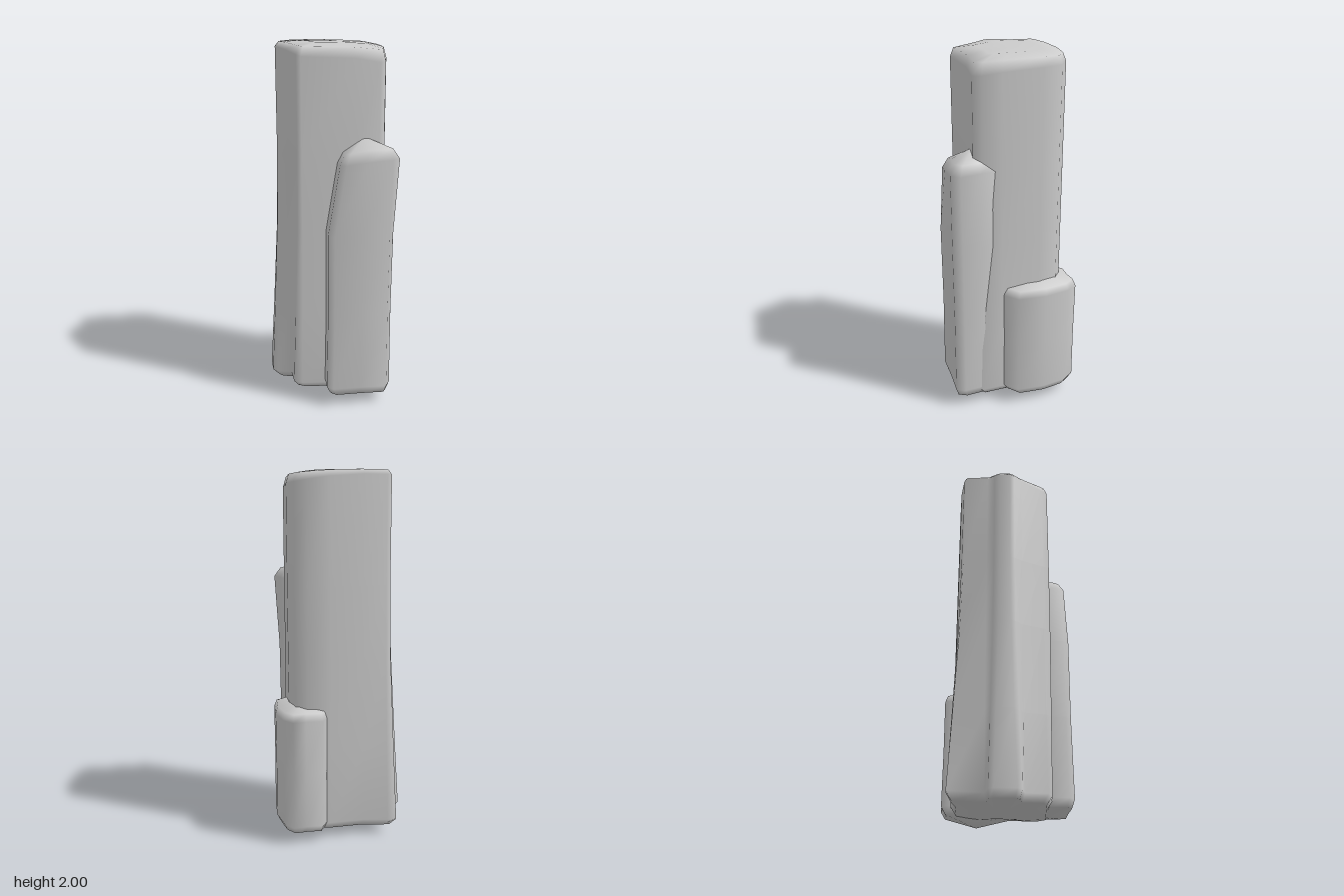
import * as THREE from 'three';

const material = new THREE.MeshStandardMaterial({ color: 0xcccccc });

// Lofts closed [x, z] outlines: each layer blends low -> high by mix and shrinks
// toward the pivot by scale; tilt lowers the layer according to position.
function loft(name, low, high, layers, pivot, bottomY, topY) {
  const n = low.length;
  const pos = [];
  const index = [];
  for (const { y, mix, scale = 1, tilt } of layers) {
    for (let i = 0; i < n; i++) {
      const bx = low[i][0] + (high[i][0] - low[i][0]) * mix;
      const bz = low[i][1] + (high[i][1] - low[i][1]) * mix;
      const x = pivot[0] + (bx - pivot[0]) * scale;
      const z = pivot[1] + (bz - pivot[1]) * scale;
      pos.push(x, y - (tilt ? tilt(x, z) : 0), z);
    }
  }
  const bottom = pos.length / 3;
  pos.push(pivot[0], bottomY, pivot[1], pivot[0], topY, pivot[1]);
  const last = (layers.length - 1) * n;
  for (let i = 0; i < n; i++) {
    const j = (i + 1) % n;
    for (let k = 0; k < last; k += n) {
      index.push(k + i, k + n + i, k + j, k + j, k + n + i, k + n + j);
    }
    index.push(bottom, i, j, bottom + 1, last + j, last + i);
  }
  const geometry = new THREE.BufferGeometry();
  geometry.setAttribute('position', new THREE.Float32BufferAttribute(pos, 3));
  geometry.setIndex(index);
  geometry.computeVertexNormals();
  const mesh = new THREE.Mesh(geometry, material);
  mesh.name = name;
  return mesh;
}

export function createModel() {
  const group = new THREE.Group();
  group.name = 'rockPillar';

  // Main column, flaring at the base with a ridge along the -x side
  const columnLow = [
    [-0.29, -0.32], [-0.24, -0.32], [-0.11, -0.295], [0.08, -0.3], [0.2, -0.285], [0.26, -0.24],
    [0.28, -0.13], [0.27, 0.08], [0.275, 0.2], [0.22, 0.25], [0.05, 0.23], [-0.21, 0.205],
    [-0.255, 0.18], [-0.26, 0.065], [-0.34, 0.045], [-0.365, 0.02],
    [-0.365, -0.095], [-0.34, -0.12], [-0.26, -0.135],
  ];
  const columnHigh = [
    [-0.25, -0.27], [-0.225, -0.28], [-0.1, -0.295], [0.08, -0.3], [0.2, -0.285], [0.26, -0.24],
    [0.285, -0.13], [0.275, 0.08], [0.25, 0.18], [0.215, 0.22], [0.08, 0.21], [-0.2, 0.22],
    [-0.22, 0.18], [-0.27, 0.06], [-0.3, 0.015], [-0.31, -0.01],
    [-0.305, -0.07], [-0.29, -0.1], [-0.26, -0.14],
  ];
  const slope = (x, z) => 0.15 * Math.max(0, x) + 0.2 * Math.max(0, z);
  group.add(loft('mainColumn', columnLow, columnHigh, [
    { y: 0.05, mix: 0, scale: 0.9 },
    { y: 0.09, mix: 0 },
    { y: 0.5, mix: 0.4 },
    { y: 1.0, mix: 0.85 },
    { y: 1.4, mix: 1 },
    { y: 1.97, mix: 1, tilt: slope },
    { y: 1.995, mix: 1, scale: 0.94, tilt: (x, z) => 0.5 * slope(x, z) },
    { y: 2.0, mix: 1, scale: 0.6, tilt: (x, z) => 0.3 * slope(x, z) },
  ], [0.03, -0.05], 0.02, 1.995));

  // Tall slab leaning on the front, with a sloping shoulder
  const slabLow = [
    [-0.08, 0.1], [0.26, 0.08], [0.27, 0.2], [0.278, 0.3], [0.25, 0.35],
    [0.1, 0.343], [-0.05, 0.342], [-0.083, 0.31], [-0.08, 0.22],
  ];
  const slabHigh = [
    [0.0, 0.1], [0.26, 0.08], [0.28, 0.2], [0.305, 0.31], [0.26, 0.353],
    [0.13, 0.348], [0.02, 0.335], [-0.01, 0.3], [-0.01, 0.22],
  ];
  group.add(loft('frontSlab', slabLow, slabHigh, [
    { y: 0.065, mix: 0, scale: 0.9 },
    { y: 0.11, mix: 0 },
    { y: 0.55, mix: 0.05, scale: 0.98 },
    { y: 1.0, mix: 0.1 },
    { y: 1.41, mix: 1, tilt: (x) => 0.15 * Math.max(0, 0.2 - x) },
    { y: 1.46, mix: 1, scale: 0.8, tilt: (x) => 0.2 * Math.max(0, 0.15 - x) },
  ], [0.14, 0.2], 0.05, 1.51));

  // Short block against the back +x corner
  const block = [
    [0.1, -0.3], [0.13, -0.35], [0.22, -0.345], [0.29, -0.353], [0.335, -0.29],
    [0.36, -0.15], [0.35, 0.01], [0.275, 0.07], [0.18, 0.04], [0.1, -0.1],
  ];
  group.add(loft('backBlock', block, block, [
    { y: 0.06, mix: 0, scale: 0.88 },
    { y: 0.1, mix: 0 },
    { y: 0.4, mix: 0, scale: 0.99 },
    { y: 0.69, mix: 0 },
    { y: 0.73, mix: 0, scale: 0.92 },
  ], [0.2, -0.16], 0.0, 0.77));

  return group;
}
